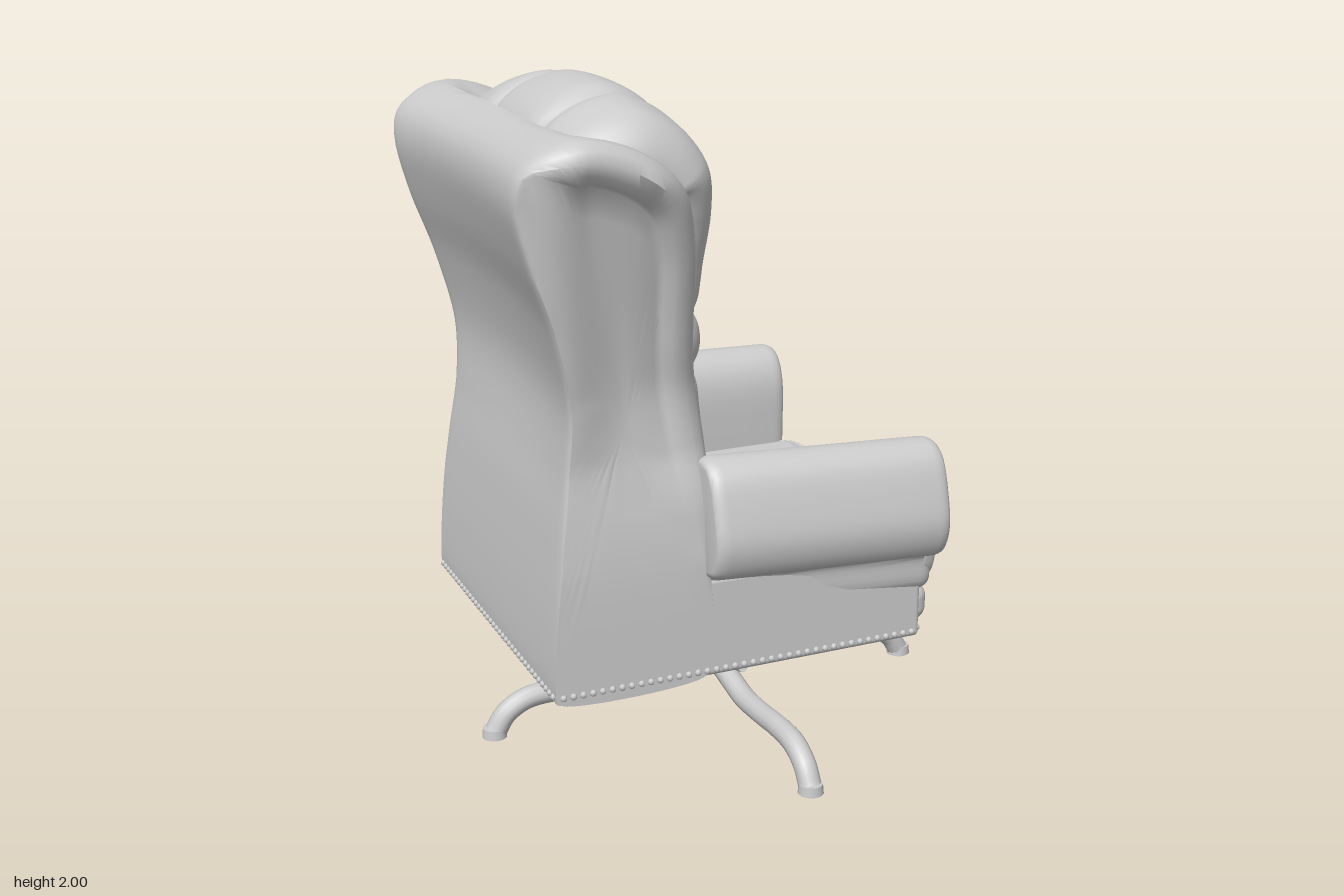
import * as THREE from 'three';
import { mergeGeometries, toCreasedNormals } from 'three/addons/utils/BufferGeometryUtils.js';
import { RoundedBoxGeometry } from 'three/addons/geometries/RoundedBoxGeometry.js';

const material = new THREE.MeshStandardMaterial({ color: 0xcccccc, side: THREE.DoubleSide });
const V = (x, y, z = 0) => new THREE.Vector3(x, y, z);
const smooth = THREE.MathUtils.smoothstep;
const bump = (d, w) => Math.exp(-((d / w) ** 2));

// Piecewise linear lookup in [[key, value], ...]
function lookup(table, k) {
  if (k <= table[0][0]) return table[0][1];
  for (let i = 1; i < table.length; i++) {
    const [a, va] = table[i - 1], [b, vb] = table[i];
    if (k <= b) return va + ((vb - va) * (k - a)) / (b - a);
  }
  return table[table.length - 1][1];
}

// Skin a list of equally long point rings
function loft(rings, closed) {
  const n = rings[0].length, index = [];
  for (let i = 0; i < rings.length - 1; i++) {
    for (let j = 0; j < (closed ? n : n - 1); j++) {
      const k = (j + 1) % n, a = i * n, b = a + n;
      index.push(a + j, a + k, b + j, b + j, a + k, b + k);
    }
  }
  const g = new THREE.BufferGeometry().setFromPoints(rings.flat());
  g.setIndex(index);
  g.computeVertexNormals();
  return g;
}

function add(parent, name, geometry, x = 0, y = 0, z = 0) {
  const mesh = new THREE.Mesh(geometry, material);
  mesh.name = name;
  mesh.position.set(x, y, z);
  parent.add(mesh);
  return mesh;
}

// Box given by its limits
function box(parent, name, [x0, x1], [y0, y1], [z0, z1], r) {
  const g = new RoundedBoxGeometry(x1 - x0, y1 - y0, z1 - z0, 5, r);
  return add(parent, name, g, (x0 + x1) / 2, (y0 + y1) / 2, (z0 + z1) / 2);
}

function tube(parent, name, points, r, segments = 40) {
  return add(parent, name, new THREE.TubeGeometry(new THREE.CatmullRomCurve3(points), segments, r, 12));
}

// Winged back: side outline lofted across the width, with a roll along top and front
function backShell() {
  const rear = [[-0.68, 0.345], [-0.683, 0.37], [-0.675, 0.55], [-0.65, 0.8], [-0.625, 1], [-0.62, 1.18], [-0.67, 1.4],
    [-0.74, 1.6], [-0.775, 1.76], [-0.757, 1.84]];
  const front = [[-0.69, 1.895], [-0.59, 1.92], [-0.43, 1.875], [-0.3, 1.77], [-0.245, 1.62], [-0.22, 1.3], [-0.19, 1.02],
    [-0.2, 0.7], [-0.21, 0.37], [-0.23, 0.345]];
  const curve = new THREE.CatmullRomCurve3([...rear, ...front].map(p => V(...p)), true);
  const rearX = rear.map(([x, y]) => [y, x]);
  const pts = curve.getSpacedPoints(120).slice(0, -1);
  const width = [[0.34, 0.55], [0.7, 0.55], [0.85, 0.535], [1, 0.515], [1.2, 0.53], [1.4, 0.565], [1.6, 0.61], [1.8, 0.655], [1.92, 0.645]];
  // Edge stations: inset, pull to the centre, share of the half width
  const panel = [1, 0.85, 0.7, 0.55, 0.4, 0.25, 0.12, 0].map(k => [0.125, k, 0.92]);
  const half = [...panel, [0.115, 0, 0.935], [0.09, 0, 0.975], [0.055, 0, 1], [0.025, 0, 0.985], [0.006, 0, 0.95],
    [0, 0, 0.9], [0, 0, 0.75], [0, 0, 0.5], [0, 0, 0.25]];
  const stations = [...half, [0, 0, 0], ...half.map(([a, b, c]) => [a, b, -c]).reverse()];
  const rings = stations.map(([inset, pull, s]) => pts.map((p, i) => {
    const n = pts.length, d = pts[(i + 1) % n].clone().sub(pts[(i + n - 1) % n]).normalize();
    const w = inset * (1 - 0.85 * smooth(d.y, 0.2, 0.95) * smooth(-p.x, 0.5, 0.6)) * smooth(p.y, 0.4, 1.1);
    let x = p.x + d.y * w, y = p.y - d.x * w;
    x += (-0.45 - x) * pull;
    y += (1.1 - y) * pull;
    const upper = smooth(y, 0.85, 1.25);
    // The side panel sinks towards the wing and stays flush at the rear corner
    const sunk = upper * smooth(x - lookup(rearX, y), 0.02, 0.2);
    const share = inset > 0.08 ? Math.sign(s) * (1 + (Math.abs(s) - 1) * sunk) : s;
    const taper = 1 - upper * (2.6 * Math.max(0, x + 0.45) ** 2 + 4 * Math.max(0, -0.6 - x) ** 2);
    const inner = 1 - smooth(Math.abs(s), 0.5, 0.9);
    const dip = 0.07 * inner * smooth(y, 1.6, 1.9) * smooth(x, -0.64, -0.52);
    const hollow = 0.03 * (1 - s * s) * upper * smooth(-x, 0.5, 0.7);
    return V(x + hollow, y - dip, share * lookup(width, y) * taper);
  }));
  return toCreasedNormals(loft(rings, true), 0.8);
}

// Padded back cushion: three columns with two cross seams and a headrest
function backCushion() {
  const profile = [[-0.2, 0.6], [-0.16, 0.75], [-0.145, 0.95], [-0.155, 1.12], [-0.16, 1.2], [-0.15, 1.28], [-0.16, 1.37],
    [-0.15, 1.5], [-0.135, 1.66], [-0.155, 1.82], [-0.235, 1.94], [-0.36, 1.997], [-0.5, 1.965], [-0.585, 1.89], [-0.61, 1.75]];
  const curve = new THREE.CatmullRomCurve3(profile.map(p => V(...p)));
  const N = 150, pts = curve.getSpacedPoints(N);
  const width = [[0.66, 0.45], [1.1, 0.405], [1.2, 0.4], [1.5, 0.425], [1.85, 0.49]];
  const rings = [];
  for (let i = 0; i <= 100; i++) {
    const u = Math.sin((i / 100 - 0.5) * Math.PI), edge = Math.max(0, (Math.abs(u) - 0.76) / 0.24);
    rings.push(pts.map((p, j) => {
      const t = curve.getTangentAt(j / N);
      const z = u * lookup(width, p.y), seam = lookup([[1.3, 0.125], [1.95, 0.205]], p.y);
      const side = Math.abs(z) - seam, column = smooth(p.y, 1.02, 1.2);
      let d = 0.11 * (1 - Math.sqrt(Math.max(0, 1 - edge * edge)));
      d += column * (0.012 * bump(side, 0.012) + 0.016 * bump(side, 0.04));
      for (const y of [1.2, 1.37]) d += 0.01 * bump(p.y - y, 0.01) + 0.011 * bump(p.y - y, 0.03);
      d += 0.04 * bump(p.y - 1.42, 0.065) * smooth(-side, 0, 0.06);
      const drop = 0.075 * u * u * smooth(p.y, 1.6, 1.98);
      return V(p.x - t.y * d, p.y + t.x * d - drop, z);
    }));
  }
  return loft(rings, false);
}

// Arm: padded section drawn out along x, slightly falling and flaring to the front
function arm(side) {
  const section = [[0.445, 0.53], [0.44, 0.72], [0.443, 0.86], [0.475, 0.935], [0.53, 0.957], [0.585, 0.925], [0.62, 0.83],
    [0.635, 0.74], [0.61, 0.665], [0.56, 0.645], [0.535, 0.61], [0.525, 0.53], [0.48, 0.515]];
  const curve = new THREE.SplineCurve([...section, section[0]].map(([z, y]) => new THREE.Vector2(-side * z, y)));
  const g = new THREE.ExtrudeGeometry(new THREE.Shape(curve.getPoints(60)), {
    depth: 0.65, steps: 6, bevelThickness: 0.04, bevelSize: 0.02, bevelSegments: 5 });
  g.rotateY(Math.PI / 2).translate(-0.19, 0, 0);
  const p = g.attributes.position;
  for (let i = 0; i < p.count; i++) {
    const x = p.getX(i);
    p.setY(i, p.getY(i) - 0.04 * (x - 0.2));
    p.setZ(i, p.getZ(i) + side * 0.035 * (x - 0.2));
  }
  return toCreasedNormals(g, 0.7);
}

// Teardrop facing on the arm front
function armFacing(side) {
  const c = new THREE.SplineCurve([[0.545, 0.56], [0.508, 0.68], [0.503, 0.85], [0.535, 0.9], [0.57, 0.85], [0.572, 0.68], [0.545, 0.56]]
    .map(([z, y]) => new THREE.Vector2(-side * z, y)));
  const g = new THREE.ExtrudeGeometry(new THREE.Shape(c.getPoints(36)), { depth: 0.02, bevelThickness: 0.012, bevelSize: 0.012, bevelSegments: 3 });
  return toCreasedNormals(g.rotateY(Math.PI / 2).translate(0.475, 0, 0), 0.7);
}

// Row of nail heads round the lower edge
function nails() {
  const list = [], put = (x, z) => list.push(new THREE.SphereGeometry(0.01, 8, 5).translate(x, 0.362, z));
  for (let i = 0; i <= 38; i++) for (const s of [-1, 1]) put(-0.66 + i * 0.029, s * 0.55);
  for (let i = 0; i <= 36; i++) for (const x of [-0.682, 0.472]) put(x, -0.53 + i * 0.0294);
  return mergeGeometries(list);
}

export function createModel() {
  const model = new THREE.Group();
  model.name = 'swivelArmchair';
  const seat = new THREE.Group();
  seat.name = 'upholstery';
  seat.rotation.y = -0.02;
  model.add(seat);

  add(seat, 'wingedBack', backShell());
  add(seat, 'backCushion', backCushion());
  box(seat, 'seatBody', [-0.3, 0.47], [0.342, 0.64], [-0.549, 0.549], 0.015);
  box(seat, 'frontApron', [0.3, 0.51], [0.378, 0.5], [-0.54, 0.54], 0.045);
  box(seat, 'seatCushion', [-0.25, 0.55], [0.485, 0.66], [-0.46, 0.46], 0.065);
  for (const y of [0.642, 0.51]) {
    tube(seat, 'cushionWelt', [V(-0.1, y, -0.447), V(0.45, y, -0.447), V(0.515, y, -0.42), V(0.53, y, -0.35), V(0.53, y, 0),
      V(0.53, y, 0.35), V(0.515, y, 0.42), V(0.45, y, 0.447), V(-0.1, y, 0.447)], 0.01, 70);
  }
  for (const s of [-1, 1]) {
    const name = s > 0 ? 'left' : 'right';
    add(seat, name + 'Arm', arm(s));
    add(seat, name + 'ArmFacing', armFacing(s));
  }
  add(seat, 'nailHeads', nails());
  box(seat, 'basePlate', [-0.65, 0.44], [0.325, 0.35], [-0.5, 0.5], 0.005);

  // Tilt mechanism
  const mech = new THREE.Group();
  mech.name = 'tiltMechanism';
  model.add(mech);
  box(mech, 'housing', [-0.2, 0.15], [0.2, 0.33], [-0.13, 0.13], 0.008);
  box(mech, 'housingRear', [-0.215, -0.16], [0.22, 0.33], [-0.06, 0.06], 0.008);
  add(mech, 'hubDisc', new THREE.CylinderGeometry(0.16, 0.175, 0.045, 32), 0, 0.177, 0);
  box(mech, 'hubLever', [-0.28, 0], [0.14, 0.195], [-0.05, 0.05], 0.02);
  const along = (name, r, x0, x1) => {
    add(mech, name, new THREE.CylinderGeometry(r, r, x1 - x0, 20).rotateZ(Math.PI / 2), (x0 + x1) / 2, 0.25, 0);
  };
  along('knobCollar', 0.045, 0.14, 0.18);
  along('knobShaft', 0.015, 0.15, 0.29);
  along('knobNut', 0.028, 0.2, 0.22);
  along('knobHub', 0.032, 0.255, 0.285);
  for (let i = 0; i < 4; i++) {
    const spoke = add(mech, 'knobSpoke', new THREE.CapsuleGeometry(0.017, 0.05, 4, 10).translate(0, 0.042, 0), 0.27, 0.25, 0);
    spoke.rotation.x = 0.6 + (i * Math.PI) / 2;
  }
  tube(mech, 'rearRod', [V(-0.66, 0.325), V(-0.58, 0.305), V(-0.4, 0.29), V(-0.28, 0.28), V(-0.23, 0.25), V(-0.19, 0.22)], 0.014);
  for (const s of [-1, 1]) {
    tube(mech, 'sideRod', [V(-0.1, 0.325, s * 0.5), V(-0.1, 0.3, s * 0.4), V(-0.1, 0.288, s * 0.25), V(-0.1, 0.285, s * 0.1)], 0.014);
  }
  const coil = Array.from({ length: 49 }, (_, i) =>
    V(-0.41 + 0.025 * Math.cos(i * 0.65), 0.2 + i * 0.0017, 0.025 * Math.sin(i * 0.65)));
  tube(mech, 'spring', coil, 0.008, 140);
  add(mech, 'springPin', new THREE.CylinderGeometry(0.014, 0.014, 0.16, 12), -0.41, 0.22, 0);
  add(mech, 'springCup', new THREE.CylinderGeometry(0.045, 0.03, 0.045, 20), -0.42, 0.18, 0);
  add(mech, 'springKnob', new THREE.CylinderGeometry(0.03, 0.04, 0.03, 20), -0.42, 0.145, 0);

  // Four curved legs
  const base = new THREE.Group();
  base.name = 'legBase';
  base.position.x = 0.015;
  model.add(base);
  add(base, 'hub', new THREE.CylinderGeometry(0.06, 0.05, 0.06, 24), 0, 0.14, 0);
  for (let i = 0; i < 4; i++) {
    const leg = new THREE.Group();
    leg.name = 'leg';
    leg.rotation.y = (i * Math.PI) / 2;
    tube(leg, 'legTube', [V(0, 0.14), V(0.12, 0.14), V(0.2, 0.122), V(0.28, 0.105), V(0.4, 0.106), V(0.52, 0.113), V(0.61, 0.105),
      V(0.675, 0.068), V(0.71, 0.015)], 0.034, 48);
    add(leg, 'foot', new THREE.CylinderGeometry(0.035, 0.038, 0.03, 20), 0.713, 0.015, 0);
    base.add(leg);
  }
  return model;
}
